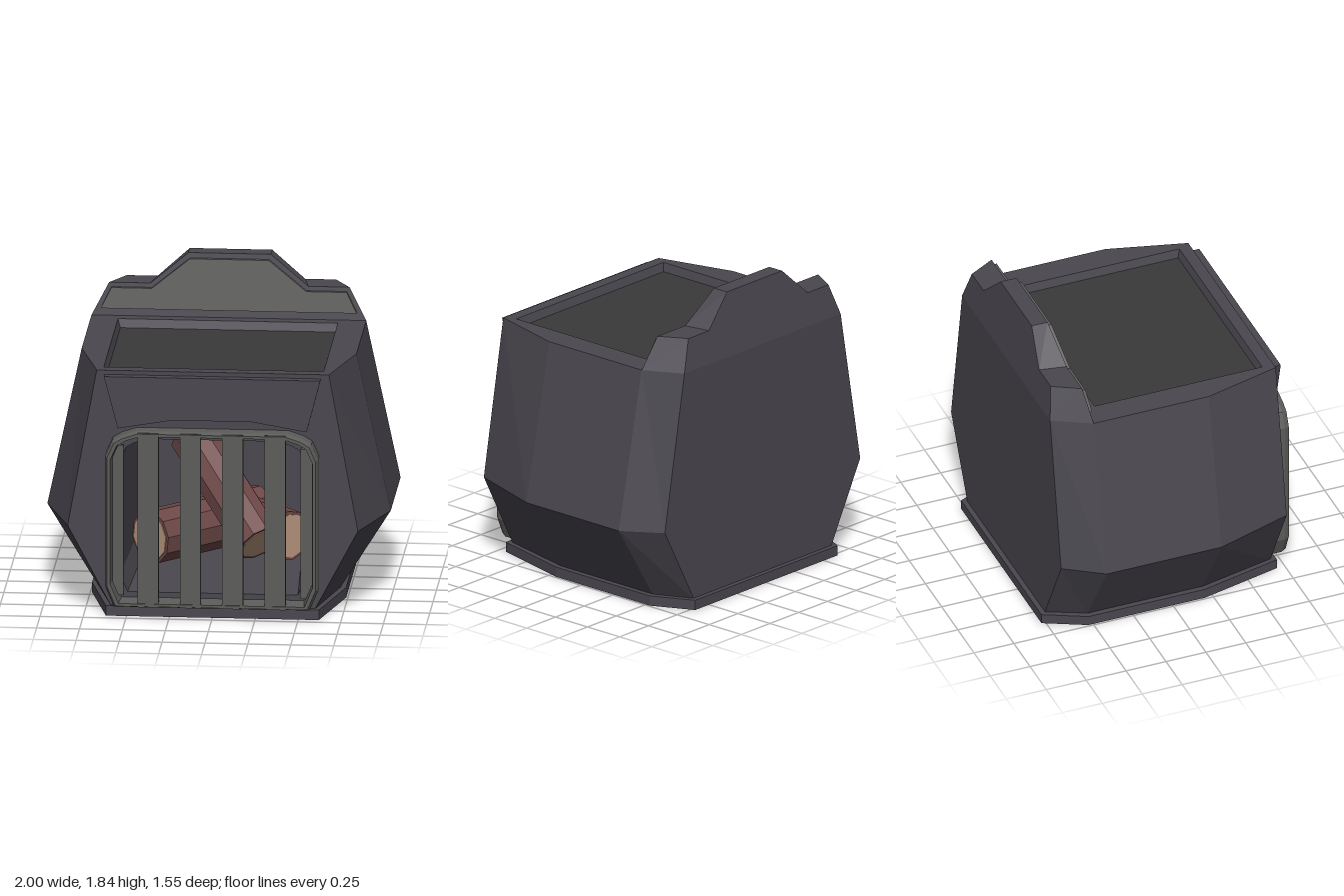
import * as THREE from 'three';

const mat = (color) => new THREE.MeshStandardMaterial({ color, flatShading: true });
const BODY = mat(0x4a474f), GRILLE = mat(0x5c5c5a), PLATE = mat(0x3a3a3a);
const BARK = mat(0x6e4848), CUT = mat(0xb8977f);

// Right half of an outline, bottom to top, mirrored to a closed counter-clockwise ring
const mirror = (half) => [...half, ...half.slice().reverse().map(([x, y]) => [-x, y])];
const shapeOf = (pts) => new THREE.Shape(pts.map(([x, y]) => new THREE.Vector2(x, y)));

// Joins rings of [x, y, z] with flat quads; optional caps on the first and last ring
function loft(rings, { open = false, capFirst = false, capLast = false } = {}) {
  const pos = [];
  for (let r = 0; r + 1 < rings.length; r++) {
    const a = rings[r], b = rings[r + 1], n = a.length;
    for (let i = 0; i < (open ? n - 1 : n); i++) {
      const j = (i + 1) % n;
      pos.push(...a[i], ...b[i], ...b[j], ...a[i], ...b[j], ...a[j]);
    }
  }
  const cap = (ring, flip) => {
    const flat = ring.map(([x, y]) => new THREE.Vector2(x, y));
    for (const [i, j, k] of THREE.ShapeUtils.triangulateShape(flat, [])) {
      pos.push(...ring[i], ...ring[flip ? k : j], ...ring[flip ? j : k]);
    }
  };
  if (capFirst) cap(rings[0], false);
  if (capLast) cap(rings[rings.length - 1], true);
  const g = new THREE.BufferGeometry();
  g.setAttribute('position', new THREE.Float32BufferAttribute(pos, 3));
  g.computeVertexNormals();
  return g;
}

// Rounded firebox outline scaled about its centre, at depth z
const FIRE = mirror([[0.57, 0.07], [0.62, 0.19], [0.62, 0.98], [0.58, 1.07], [0.53, 1.1], [0.44, 1.13]]);
const fire = (s, z) => FIRE.map(([x, y]) => [x * s, 0.6 + (y - 0.6) * s, z]);

export function createModel() {
  const model = new THREE.Group();
  const add = (name, geometry, material, parent = model) => {
    const m = new THREE.Mesh(geometry, material);
    m.name = name;
    parent.add(m);
    return m;
  };

  // Base plinth
  const base = mirror([[0.62, -0.7], [0.74, -0.2], [0.74, 0.53], [0.62, 0.775]]);
  add('basePlinth', new THREE.ExtrudeGeometry(shapeOf(base), { depth: 0.06, bevelEnabled: false })
    .rotateX(-Math.PI / 2), BODY);

  // Faceted body: the same plan at three heights, widest at the waist
  const plan = (s, y) => mirror([[0.845, -0.67], [1, -0.2], [1, 0.52], [0.85, 0.745]])
    .map(([x, d]) => [x * s, y, -d]);
  add('bodyShell', loft([plan(0.8, 1.47), plan(1, 0.53), plan(0.7, 0.05)], { open: true }), BODY);

  // Front wall with the firebox opening
  const front = shapeOf(mirror([[0.592, 0.05], [0.845, 0.53], [0.676, 1.47]]));
  front.holes.push(shapeOf(fire(0.87, 0)));
  add('frontWall', new THREE.ShapeGeometry(front).translate(0, 0, 0.67), BODY);
  const cavity = loft([fire(0.78, -0.4), fire(0.87, 0.67)]);
  add('fireboxLining', cavity, BODY);
  add('fireboxBack', new THREE.ShapeGeometry(shapeOf(fire(0.78, 0))).translate(0, 0, -0.4), BODY);

  // Top rim with a sunken cooking plate
  const rect = (w, z0, z1, y) => [[w, y, z1], [w, y, z0], [-w, y, z0], [-w, y, z1]];
  const top = shapeOf(plan(0.8, 0).map(([x, , z]) => [x, -z]));
  top.holes.push(shapeOf(rect(0.64, -0.45, 0.6, 0).map(([x, , z]) => [x, -z])));
  add('topRim', new THREE.ShapeGeometry(top).rotateX(-Math.PI / 2).translate(0, 1.47, 0), BODY);
  add('plateRecess', loft([rect(0.625, -0.435, 0.585, 1.42), rect(0.64, -0.45, 0.6, 1.47)]), BODY);
  add('cookingPlate', new THREE.PlaneGeometry(1.25, 1.02).rotateX(-Math.PI / 2)
    .translate(0, 1.42, 0.075), PLATE);

  // Stepped back board, thinner towards the top, with a raised panel
  const lean = (pts, z0, slope) => mirror(pts).map(([x, y]) => [x, y, z0 + (y - 1.47) * slope]);
  add('backBoard', loft([
    lean([[0.8, 1.47], [0.7, 1.66], [0.46, 1.66], [0.24, 1.84]], -0.52, -0.17),
    lean([[0.68, 1.47], [0.61, 1.66], [0.43, 1.66], [0.24, 1.84]], -0.745, 0.17),
  ], { capFirst: true, capLast: true }), BODY);
  const panel = [[0.745, 1.515], [0.685, 1.635], [0.45, 1.635], [0.23, 1.81]];
  add('backBoardPanel', loft([lean(panel, -0.5, -0.16), lean(panel, -0.53, -0.16)],
    { capFirst: true }), GRILLE);

  // Raised hood panel above the grille
  const hood = mirror([[0.23, 1.19], [0.55, 1.135], [0.63, 1.445]]);
  add('hoodPanel', new THREE.ExtrudeGeometry(shapeOf(hood), { depth: 0.06, bevelEnabled: false })
    .translate(0, 0, 0.66), BODY);

  // Grille frame and bars
  const grille = new THREE.Group();
  grille.name = 'grille';
  model.add(grille);
  add('grilleFrame', loft([fire(0.93, 0.67), fire(0.95, 0.78), fire(0.98, 0.78), fire(1, 0.75), fire(1, 0.67)]),
    GRILLE, grille);
  for (const x of [-0.37, -0.123, 0.123, 0.37]) {
    add('grilleBar', new THREE.BoxGeometry(0.122, 1.05, 0.04).translate(x, 0.6, 0.755), GRILLE, grille);
  }
  for (const x of [-0.55, 0.55]) {
    add('grilleSideBar', new THREE.BoxGeometry(0.07, 0.9, 0.03).translate(x, 0.58, 0.7), GRILLE, grille);
  }

  // Logs: bark cylinder with pale cut ends
  const addLog = (from, to, radius) => {
    const a = new THREE.Vector3(...from), b = new THREE.Vector3(...to);
    const log = new THREE.Group();
    log.name = 'log';
    const len = a.distanceTo(b);
    add('bark', new THREE.CylinderGeometry(radius, radius, len, 10), BARK, log);
    add('cutEnds', new THREE.CylinderGeometry(radius * 0.88, radius * 0.88, len + 0.01, 10), CUT, log);
    log.position.copy(a).add(b).multiplyScalar(0.5);
    log.quaternion.setFromUnitVectors(new THREE.Vector3(0, 1, 0), b.clone().sub(a).normalize());
    model.add(log);
  };
  addLog([-0.38, 0.41, 0.45], [0.2, 0.41, -0.15], 0.16);
  addLog([0.43, 0.42, 0.4], [-0.1, 0.42, -0.2], 0.15);
  addLog([0.26, 0.4, 0.5], [-0.17, 0.9, 0.0], 0.14);

  return model;
}
